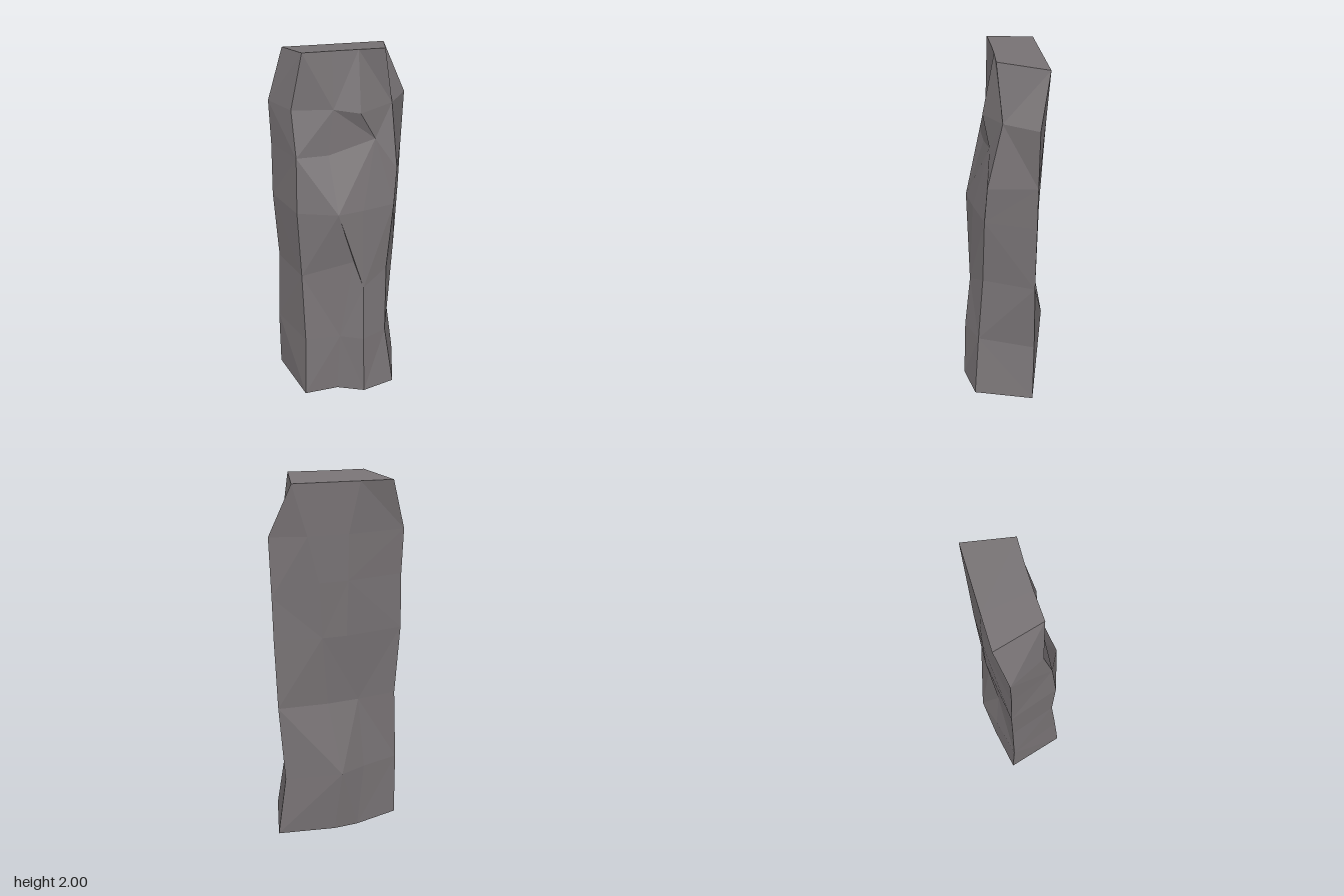
import * as THREE from 'three';

// Usual heights of the rough horizontal sections
const LEVELS = [0, 0.37, 0.78, 1.17, 1.47, 1.71, 2];

// Vertical ridges, anticlockwise seen from above: [x, z] at each level,
// with a third number where a point leaves the usual height
const RIDGES = {
  left: [[-0.37, -0.15], [-0.37, -0.14], [-0.35, -0.14], [-0.37, -0.15], [-0.365, -0.145], [-0.37, -0.15], [-0.28, -0.2]],
  frontLeft: [[-0.275, 0.19], [-0.26, 0.16], [-0.265, 0.12], [-0.28, 0.12], [-0.27, 0.09], [-0.28, 0.035], [-0.22, 0.05]],
  frontHollow: [[-0.08, 0.18], [-0.06, 0.17], [0.02, 0.165, 0.86], [-0.07, 0.19], [-0.1, 0.085], [-0.07, 0.075], [-0.07, 0.045]],
  frontRidge: [[0.07, 0.24], [0.065, 0.225], [0.07, 0.19, 0.7], [0.07, 0.165], [0.15, 0.08, 1.54], [0.065, 0.105, 1.69], [0.065, 0.045]],
  frontRight: [[0.26, 0.19], [0.21, 0.16], [0.215, 0.13], [0.25, 0.12], [0.265, 0.105, 1.37], [0.25, 0.025], [0.2, 0.05]],
  right: [[0.35, -0.14], [0.305, -0.15, 0.35], [0.335, -0.14], [0.35, -0.14], [0.355, -0.14, 1.4], [0.365, -0.14], [0.26, -0.2]],
  backRight: [[0.03, -0.2], [0, -0.24], [0.06, -0.165], [0.1, -0.19], [0.12, -0.2], [0.18, -0.2], [0.1, -0.2]],
  backLeft: [[-0.11, -0.2], [-0.15, -0.19], [-0.12, -0.16], [-0.035, -0.195], [-0.04, -0.2], [-0.04, -0.2], [-0.1, -0.2]],
};

function createStoneGeometry() {
  const columns = Object.values(RIDGES);
  const n = columns.length;
  const top = LEVELS.length - 1;
  const positions = [];

  const corner = (column, level) => {
    const [x, z, y = LEVELS[level]] = columns[column % n][level];
    // The top slopes gently down towards the back
    return [x, level === top ? 1.994 + 0.12 * z : y, z];
  };
  const triangle = (a, b, c) => positions.push(...a, ...b, ...c);

  // Faceted sides, with the diagonals alternating
  for (let level = 0; level < top; level++) {
    for (let i = 0; i < n; i++) {
      const a = corner(i, level), b = corner(i + 1, level);
      const c = corner(i + 1, level + 1), d = corner(i, level + 1);
      if ((i + level) % 2) {
        triangle(a, b, c);
        triangle(a, c, d);
      } else {
        triangle(a, b, d);
        triangle(b, c, d);
      }
    }
  }

  // Top and bottom, fanned from the back
  for (let i = 0; i < n - 2; i++) {
    triangle(corner(n - 1, top), corner(i, top), corner(i + 1, top));
    triangle(corner(n - 1, 0), corner(i + 1, 0), corner(i, 0));
  }

  const geometry = new THREE.BufferGeometry();
  geometry.setAttribute('position', new THREE.Float32BufferAttribute(positions, 3));
  geometry.computeVertexNormals();
  return geometry;
}

export function createModel() {
  const group = new THREE.Group();
  group.name = 'standingStone';
  // Dark, slightly warm stone
  const material = new THREE.MeshStandardMaterial({ color: 0x787375, flatShading: true });
  const stone = new THREE.Mesh(createStoneGeometry(), material);
  stone.name = 'stone';
  group.add(stone);
  return group;
}
